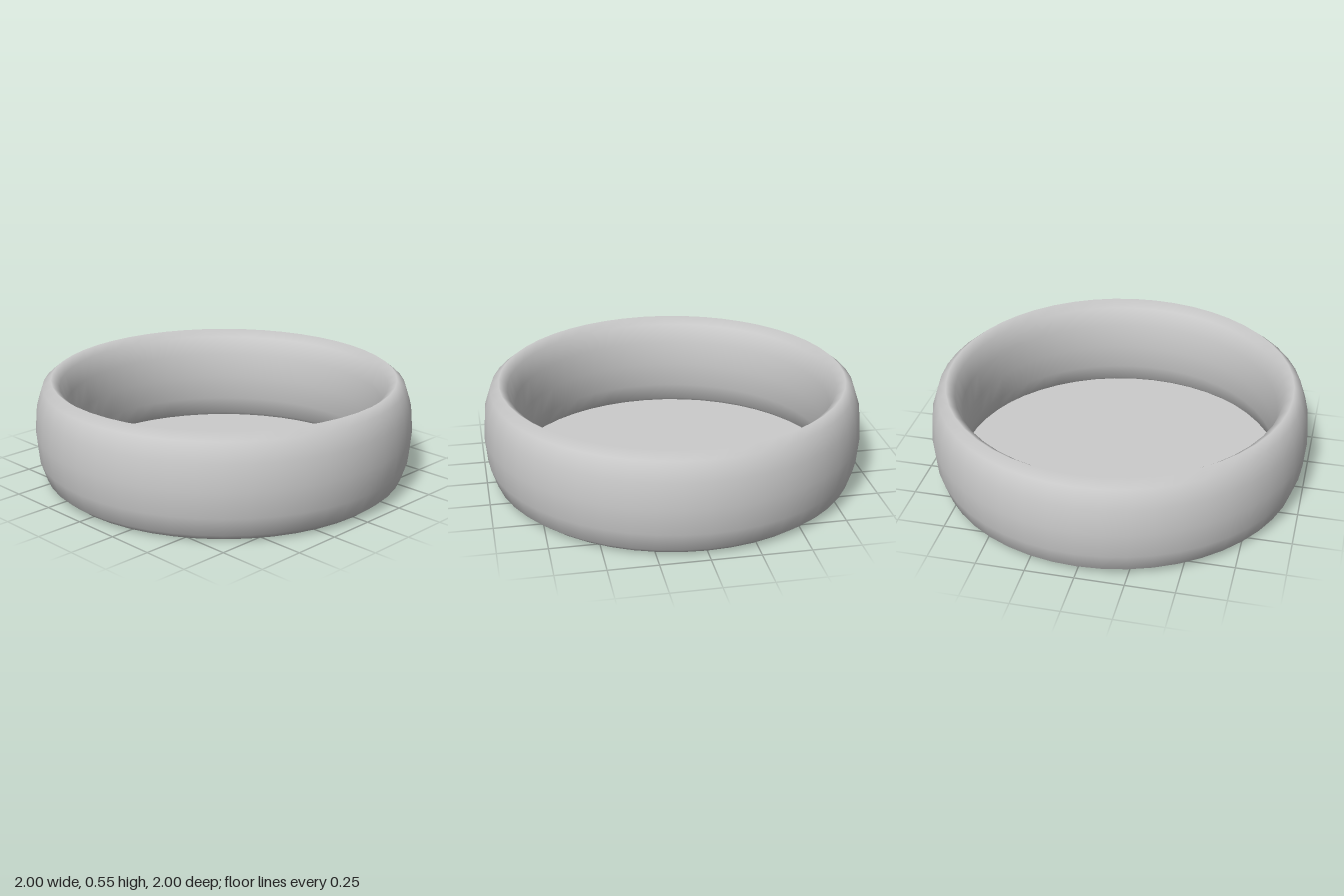
import * as THREE from 'three';

export function createModel() {
  const model = new THREE.Group();
  model.name = 'shallowDish';
  const material = new THREE.MeshStandardMaterial({ color: 0xcccccc });

  const ringRadius = 0.91, tubeRadius = 0.09, height = 0.545;

  // Wall: a ring stretched upwards, rounded at the rim and foot
  const wallGeometry = new THREE.TorusGeometry(ringRadius, tubeRadius, 12, 48);
  wallGeometry.rotateX(-Math.PI / 2);
  wallGeometry.scale(1, height / (2 * tubeRadius), 1);
  const wall = new THREE.Mesh(wallGeometry, material);
  wall.name = 'wall';
  wall.position.y = height / 2;
  model.add(wall);

  // Floor: thin disc set just inside the foot of the wall
  const floor = new THREE.Mesh(new THREE.CylinderGeometry(0.905, 0.905, 0.008, 48), material);
  floor.name = 'floor';
  floor.position.y = 0.009;
  model.add(floor);

  return model;
}
